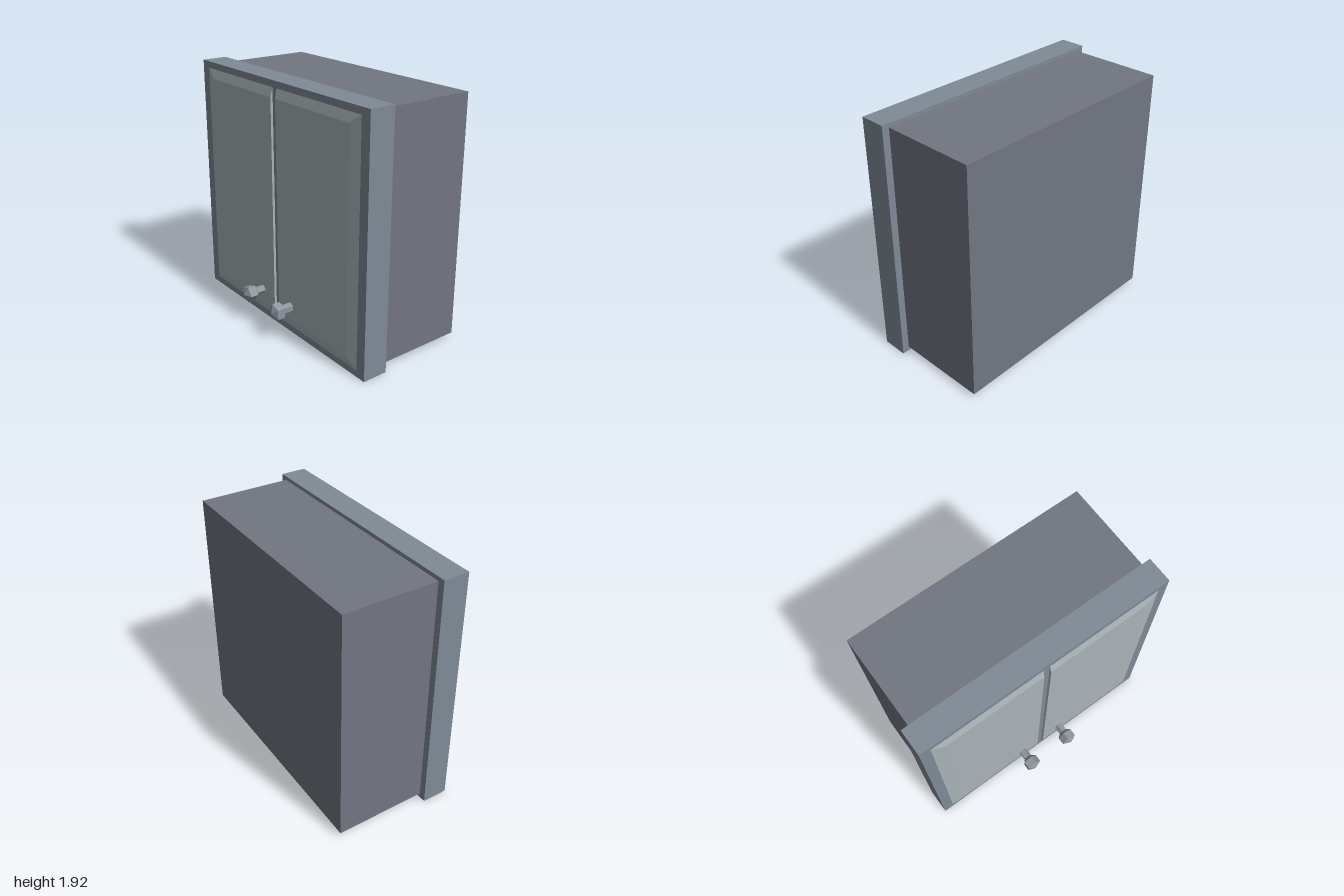
import * as THREE from 'three';

const material = (color) => new THREE.MeshStandardMaterial({ color, flatShading: true });

function block(name, mat, [x0, x1], [y0, y1], [z0, z1]) {
  const mesh = new THREE.Mesh(new THREE.BoxGeometry(x1 - x0, y1 - y0, z1 - z0), mat);
  mesh.position.set((x0 + x1) / 2, (y0 + y1) / 2, (z0 + z1) / 2);
  mesh.name = name;
  return mesh;
}

export function createModel() {
  const model = new THREE.Group();
  model.name = 'wallCabinet';
  const bodyMat = material(0x727682);
  const frameMat = material(0x7f8b97);
  const doorMat = material(0xaab4b8);
  const knobMat = material(0x8f97a2);

  // Cabinet box and the wider slab in front of it
  model.add(block('cabinetBody', bodyMat, [-0.945, 0.945], [0.035, 1.89], [-0.56, 0.165]));
  model.add(block('frontFrame', frameMat, [-1, 1], [0, 1.92], [0.16, 0.36]));

  // The doors meet at a gap slightly off centre
  const gapX = -0.017;
  const knobProfile = [[0.035, 0], [0.035, 0.075], [0.066, 0.1], [0.066, 0.16], [0, 0.187]]
    .map(([r, y]) => new THREE.Vector2(r, y));

  for (const side of [-1, 1]) {
    const label = side > 0 ? 'left' : 'right';
    const inner = gapX + side * 0.024;
    const outer = side * 0.947;

    // Door panel: front corners pulled in to bevel the top, bottom and outer edge
    const door = block(label + 'Door', doorMat,
      [Math.min(inner, outer), Math.max(inner, outer)], [0.03, 1.89], [0.355, 0.377]);
    const p = door.geometry.attributes.position;
    for (let i = 0; i < p.count; i++) {
      if (p.getZ(i) < 0) continue;
      const isOuter = p.getX(i) * side > 0;
      p.setX(i, p.getX(i) + side * (isOuter ? -0.125 : 0.004));
      p.setY(i, p.getY(i) - Math.sign(p.getY(i)) * 0.092);
    }
    door.geometry.computeVertexNormals();
    model.add(door);

    // Five-sided knob pointing towards the gap
    const geometry = new THREE.LatheGeometry(knobProfile, 5);
    geometry.rotateX(Math.PI / 2).rotateZ(-side * Math.PI / 2);
    const knob = new THREE.Mesh(geometry, knobMat);
    knob.position.set(gapX + side * 0.186, 0.23, 0.37);
    knob.name = label + 'Knob';
    model.add(knob);
  }
  return model;
}
